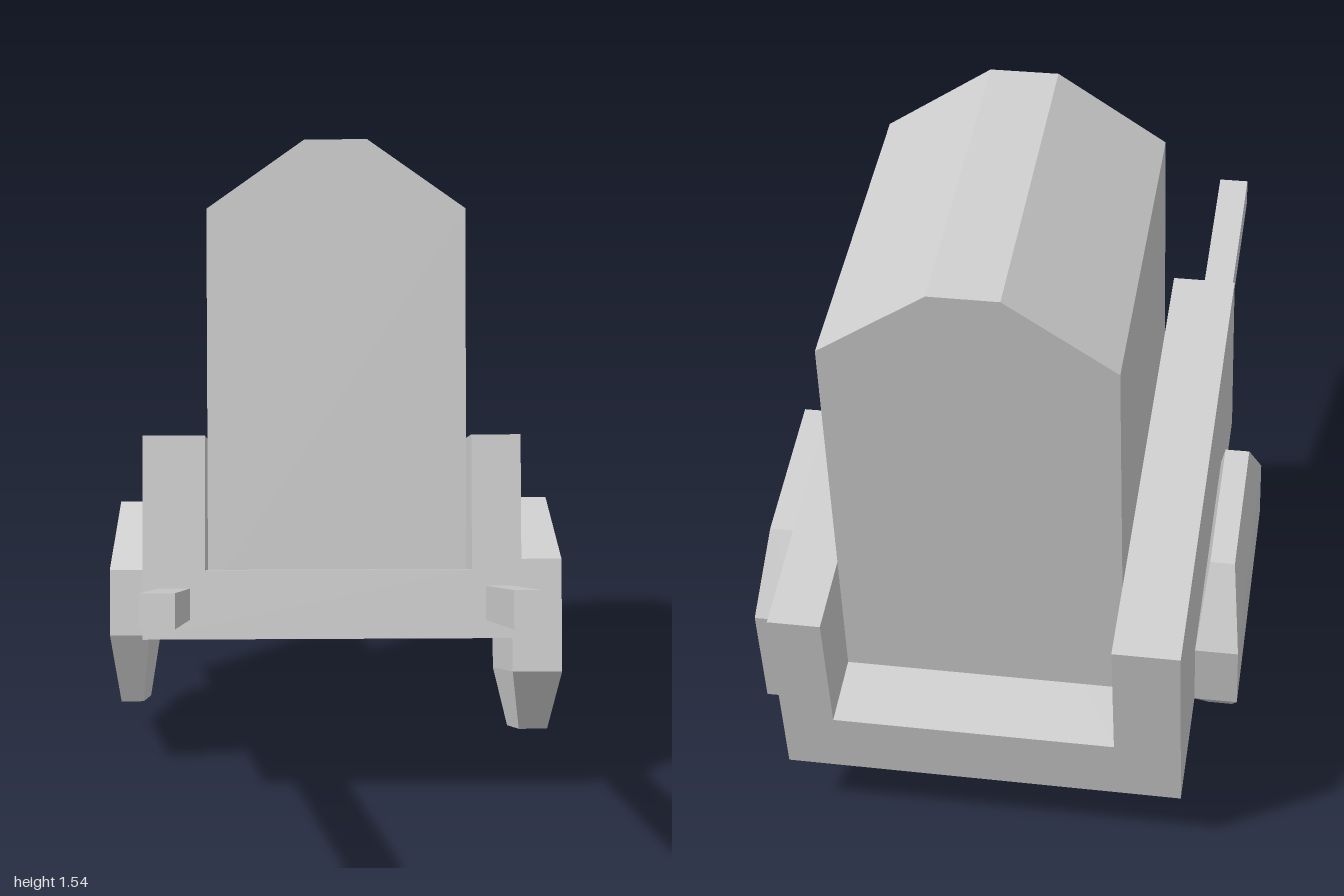
import * as THREE from 'three';

const material = new THREE.MeshStandardMaterial({ color: 0xcccccc, flatShading: true });

function add(parent, name, geometry) {
  const mesh = new THREE.Mesh(geometry, material);
  mesh.name = name;
  parent.add(mesh);
  return mesh;
}

// Extrudes an x-y outline along z, starting at z = start
function extrude(points, depth, start) {
  const shape = new THREE.Shape(points.map(([x, y]) => new THREE.Vector2(x, y)));
  return new THREE.ExtrudeGeometry(shape, { depth, bevelEnabled: false }).translate(0, 0, start);
}

// Eight-sided wheel: rim points are [z, y], clockwise seen from +x, starting at
// the front of the top facet. The top and bottom facets are narrower than the middle.
function wheelGeometry(rim, centerX, wide, narrow) {
  const corner = (i, side) => {
    const half = ([0, 1, 4, 5].includes(i) ? narrow : wide) / 2;
    return [centerX + side * half, rim[i][1], rim[i][0]];
  };
  const positions = [];
  const quad = (a, b, c, d) => positions.push(...a, ...b, ...c, ...a, ...c, ...d);
  // Tread
  for (let i = 0; i < 8; i++) {
    const j = (i + 1) % 8;
    quad(corner(i, 1), corner(j, 1), corner(j, -1), corner(i, -1));
  }
  // Folded side faces
  for (const [a, b, c, d] of [[0, 1, 2, 7], [7, 2, 3, 6], [6, 3, 4, 5]]) {
    quad(corner(d, 1), corner(c, 1), corner(b, 1), corner(a, 1));
    quad(corner(a, -1), corner(b, -1), corner(c, -1), corner(d, -1));
  }
  const geometry = new THREE.BufferGeometry();
  geometry.setAttribute('position', new THREE.Float32BufferAttribute(positions, 3));
  geometry.computeVertexNormals();
  return geometry;
}

export function createModel() {
  const model = new THREE.Group();
  model.name = 'cart';

  // Tilted chassis: open-ended tray with two side walls
  const chassis = new THREE.Group();
  chassis.name = 'chassis';
  chassis.position.set(0, 0.515, -0.378);
  chassis.rotation.x = -0.243;
  model.add(chassis);
  add(chassis, 'tray', extrude([
    [-0.455, -0.237], [0.425, -0.237], [0.425, 0.237], [0.31, 0.237],
    [0.31, -0.077], [-0.31, -0.077], [-0.31, 0.237], [-0.455, 0.237],
  ], 1.164, -0.582));

  // Pull handles
  for (const [name, x, width, height] of [
    ['rightHandle', -0.382, 0.073, 0.073],
    ['leftHandle', 0.371, 0.058, 0.08],
  ]) {
    add(chassis, name, new THREE.BoxGeometry(width, height, 0.82)).position.set(x, -0.155, 0.96);
  }

  // Tall load with a sloped, flat-ridged top, leaning slightly less than the tray
  const load = add(model, 'load', extrude([
    [-0.31, -0.93], [0.31, -0.93], [0.31, 0], [0.075, 0.165], [-0.075, 0.165], [-0.31, 0],
  ], 0.787, -0.787));
  load.position.set(0, 1.38, -0.155);
  load.rotation.x = -0.181;

  // Wheels, slightly different in size
  add(model, 'leftWheel', wheelGeometry([
    [-0.225, 0.655], [-0.59, 0.56], [-0.675, 0.37], [-0.61, 0.105],
    [-0.43, 0], [-0.085, 0.1], [0.01, 0.275], [-0.055, 0.54],
  ], 0.485, 0.12, 0.07));
  add(model, 'rightWheel', wheelGeometry([
    [-0.235, 0.645], [-0.57, 0.56], [-0.645, 0.37], [-0.61, 0.21],
    [-0.45, 0.08], [-0.12, 0.165], [-0.045, 0.355], [-0.08, 0.51],
  ], -0.503, 0.096, 0.055));

  return model;
}
